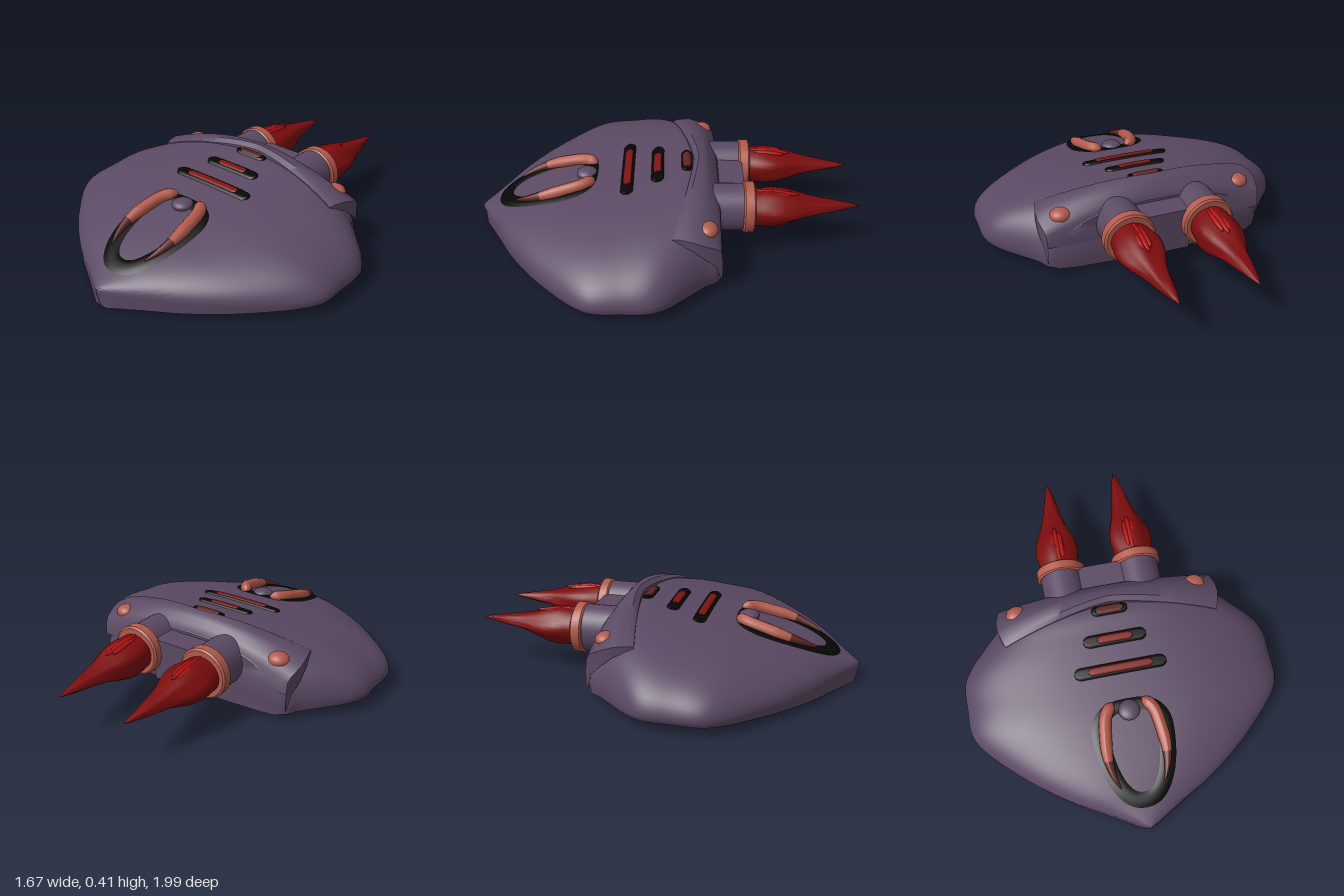
import * as THREE from 'three';
import { toCreasedNormals } from 'three/addons/utils/BufferGeometryUtils.js';

const material = (name, color, side = THREE.FrontSide) => {
  const m = new THREE.MeshStandardMaterial({ color, side });
  m.name = name;
  return m;
};

// Hull stations: z, half width, ridge height
const STATIONS = [
  [-0.272, 0.545, 0.325], [-0.25, 0.58, 0.345], [-0.2, 0.61, 0.365], [-0.1, 0.705, 0.38], [0, 0.795, 0.365],
  [0.08, 0.83, 0.353], [0.2, 0.832, 0.334], [0.35, 0.826, 0.308], [0.45, 0.765, 0.288], [0.6, 0.615, 0.25],
  [0.7, 0.495, 0.222], [0.8, 0.35, 0.187], [0.88, 0.205, 0.152], [0.94, 0.1, 0.126], [0.975, 0.04, 0.11], [0.995, 0.002, 0.1],
];
const EDGE = 0.08;

// Smooth interpolation of one station column
function station(z, k) {
  const S = STATIONS, n = S.length;
  z = THREE.MathUtils.clamp(z, S[0][0], S[n - 1][0]);
  let i = 0;
  while (i < n - 2 && z > S[i + 1][0]) i++;
  const slope = (j) => {
    const a = S[Math.max(j - 1, 0)], b = S[Math.min(j + 1, n - 1)];
    return (b[k] - a[k]) / (b[0] - a[0]);
  };
  const h = S[i + 1][0] - S[i][0], t = (z - S[i][0]) / h, t2 = t * t, t3 = t2 * t;
  return (2 * t3 - 3 * t2 + 1) * S[i][k] + (t3 - 2 * t2 + t) * h * slope(i)
    + (3 * t2 - 2 * t3) * S[i + 1][k] + (t3 - t2) * h * slope(i + 1);
}

// Height of the hull's upper surface
function hullTop(x, z) {
  const t = Math.min(1, Math.abs(x) / station(z, 1));
  return EDGE + (station(z, 2) - EDGE) * Math.sqrt(1 - Math.pow(t, 2.5));
}

// Skin over rows of points of equal length; closed loops get end caps
function skin(rows, closed) {
  const n = rows[0].length, last = (rows.length - 1) * n, pos = rows.flat(2), idx = [];
  for (let j = 0; j < rows.length - 1; j++) {
    for (let i = 0; i < (closed ? n : n - 1); i++) {
      const k = (i + 1) % n, a = j * n + i, b = j * n + k;
      idx.push(a, b, a + n, b, b + n, a + n);
    }
  }
  if (closed) {
    const c = pos.length / 3;
    pos.push(0, 0.12, rows[0][0][2], 0, 0.05, rows.at(-1).at(-1)[2]);
    for (let i = 0; i < n; i++) {
      const k = (i + 1) % n;
      idx.push(c, k, i, c + 1, last + i, last + k);
    }
  }
  const g = new THREE.BufferGeometry();
  g.setAttribute('position', new THREE.Float32BufferAttribute(pos, 3));
  g.setIndex(idx);
  return toCreasedNormals(g, 0.7);
}

function hullGeometry() {
  const rows = [], N = 44, M = 64;
  for (let j = 0; j <= M; j++) {
    const z = -0.272 + 1.267 * j / M, w = station(z, 1), row = [];
    for (let i = 0; i <= N; i++) {
      const x = w * Math.cos(Math.PI * i / N);
      row.push([x, hullTop(x, z), z]);
    }
    const lift = w / 0.83, zb = Math.min(z, 0.975);
    for (const [f, y] of [[-0.985, 0.055], [-0.95, 0.04], [-0.8, 0.025], [-0.45, 0.01], [0, 0],
      [0.45, 0.01], [0.8, 0.025], [0.95, 0.04], [0.985, 0.055]]) row.push([w * f, y * lift, zb]);
    rows.push(row);
  }
  return skin(rows, true);
}

// Raised cowl across the rear deck
function cowlGeometry() {
  const rows = [], N = 36;
  const column = (u, skirt) => {
    const a = Math.abs(u), x = 0.565 * u;
    const crest = 0.415 - 0.11 * a * a;
    const front = -0.14 + 0.11 * Math.pow(a, 1.3);
    const fall = -0.2 + 0.07 * a * a;
    const bulge = (z) => x * (1 + 0.06 * Math.sin(Math.PI * THREE.MathUtils.clamp((front - z) / (front + 0.3), 0, 1)));
    return [
      [front, hullTop(x, front) - 0.02], [front - 0.004, Math.max(crest - 0.02, hullTop(x, front) + 0.004)],
      [front - 0.03, crest], [fall, crest - 0.004], [(fall - 0.245) / 2, crest - 0.025],
      [-0.245, crest - 0.052], [-0.268, crest - 0.08], [-0.276, 0.16],
    ].map(([z, y]) => [bulge(z), skirt ? Math.min(y, hullTop(x, z) - 0.01) : y, z]);
  };
  rows.push(column(-1, true));
  for (let i = 0; i <= N; i++) rows.push(column(-1 + 2 * i / N, false));
  rows.push(column(1, true));
  return skin(rows.map((r) => r.reverse()), false);
}

// Lay a flat geometry over the hull; rule returns [x, z, height above hull]
function drape(g, rule) {
  const p = g.attributes.position;
  for (let i = 0; i < p.count; i++) {
    const [x, z, h] = rule(p.getX(i), p.getY(i));
    p.setXYZ(i, x, hullTop(x, z) + h, z);
  }
  g.computeVertexNormals();
  return g;
}

// Pill shaped strip
const pill = (z0, half, r, h) => drape(new THREE.PlaneGeometry(2, 2, 40, 10), (u, v) => {
  const x = half * Math.sin(u * Math.PI / 2);
  const over = Math.max(0, Math.abs(x) - (half - r));
  const d = Math.sqrt(Math.max(0, r * r - over * over));
  return [x, z0 - v * d, h * (1 - Math.pow(v, 6)) - 0.002];
});

// Egg shaped rim
const eggRim = () => drape(new THREE.RingGeometry(1, 2, 72, 5), (u, v) => {
  const s = Math.hypot(u, v) - 1, a = Math.atan2(v, u), c = Math.cos(a), sn = Math.sin(a);
  const x = Math.sign(c) * Math.pow(Math.abs(c), sn > 0 ? 0.7 : 0.88) * (0.125 + 0.085 * s);
  const z = 0.52 - sn * (sn > 0 ? 0.1 + 0.06 * s : 0.3 + 0.075 * s);
  return [x, z, 0.009 * Math.min(1, 4 * s * (1 - s) + 0.2)];
});

// Tapered curved claw with a dark tip
function clawGeometry(side) {
  const pts = [[0.075, 0.37, 0.012], [0.122, 0.43, 0.018], [0.143, 0.53, 0.02], [0.15, 0.64, 0.02],
    [0.135, 0.73, 0.018], [0.11, 0.795, 0.014]]
    .map(([x, z, h]) => new THREE.Vector3(side * x, hullTop(x, z) + h, z));
  const curve = new THREE.CatmullRomCurve3(pts), L = 32, R = 12;
  const g = new THREE.TubeGeometry(curve, L, 0.032, R);
  const p = g.attributes.position, v = new THREE.Vector3();
  for (let i = 0; i < p.count; i++) {
    const t = Math.floor(i / (R + 1)) / L, c = curve.getPointAt(t);
    const f = Math.min(1, Math.sqrt(t * 12)) * Math.min(1, Math.pow((1 - t) / 0.5, 0.7));
    v.fromBufferAttribute(p, i).sub(c).multiplyScalar(f).add(c);
    p.setXYZ(i, v.x, v.y, v.z);
  }
  g.computeVertexNormals();
  const split = 21 * R * 6;
  g.addGroup(0, split, 0);
  g.addGroup(split, L * R * 6 - split, 1);
  return g;
}

// Exhaust flame with twisting lobes, pointing to the rear
function flameGeometry() {
  const profile = [[0, 0], [0.1, 0], [0.108, 0.05], [0.116, 0.1], [0.111, 0.16], [0.094, 0.22], [0.07, 0.28],
    [0.053, 0.34], [0.043, 0.39], [0.029, 0.45], [0.015, 0.51], [0, 0.555]].map(([r, y]) => new THREE.Vector2(r, y));
  const g = new THREE.LatheGeometry(profile, 40);
  const p = g.attributes.position;
  for (let i = 0; i < p.count; i++) {
    const y = p.getY(i), a = Math.atan2(p.getZ(i), p.getX(i));
    const f = 1 + 0.06 * Math.sin(5 * a + 9 * y) * Math.min(1, y * 8);
    p.setXYZ(i, p.getX(i) * f - 0.015 * y / 0.555, y, p.getZ(i) * f * (0.92 - 0.2 * Math.min(1, y * 5)));
  }
  g.rotateX(-Math.PI / 2);
  return toCreasedNormals(g, 0.9);
}

export function createModel() {
  const purple = material('dusky purple', 0x5b4963);
  const black = material('black', 0x060607, THREE.DoubleSide);
  const coral = material('coral', 0xb25a4b);
  const flameRed = material('flame red', 0x7c0c0d);
  const brightRed = material('bright red', 0xac0f10);
  const maroon = material('maroon', 0x5e2523);
  const stripRed = material('strip red', 0x7c1513, THREE.DoubleSide);

  const model = new THREE.Group();
  const add = (name, g, m, x = 0, y = 0, z = 0, parent = model) => {
    const mesh = new THREE.Mesh(g, m);
    mesh.name = name;
    mesh.position.set(x, y, z);
    parent.add(mesh);
    return mesh;
  };

  add('hull', hullGeometry(), purple);
  add('rearCowl', cowlGeometry(), purple);
  add('engineBridge', new THREE.BoxGeometry(0.24, 0.22, 0.18), purple, 0, 0.2, -0.315);

  // Deck strips
  for (const [z, half, inner, r] of [[0.2, 0.24, 0.167, 0.034], [0.045, 0.165, 0.092, 0.034], [-0.108, 0.095, 0.072, 0.03]]) {
    add('stripFrame', pill(z, half, r, 0.012), black);
    add('stripInlay', pill(z, inner, 0.024, 0.018), z < 0 ? maroon : stripRed);
  }

  // Nose emblem: rim, claws and knob
  add('noseRim', eggRim(), black);
  add('noseKnob', new THREE.SphereGeometry(0.055, 24, 16), purple, 0, 0.303, 0.42).scale.y = 0.5;
  for (const s of [-1, 1]) {
    add('claw', clawGeometry(s), [coral, maroon]);
    const bump = add('cowlBump', new THREE.SphereGeometry(0.057, 24, 16), coral, s * 0.482, 0.293, -0.2);
    bump.scale.set(1, 0.66, 0.92);

    // Engine with collar and flame
    const engine = new THREE.Group();
    engine.name = 'engine';
    engine.position.set(s * 0.208, 0.235, 0);
    model.add(engine);
    const tube = new THREE.CylinderGeometry(0.115, 0.115, 0.22, 36).rotateX(Math.PI / 2);
    add('engineTube', tube, purple, 0, 0, -0.3, engine).scale.y = 1.08;
    const ring = [[0.09, -0.03], [0.122, -0.03], [0.132, -0.022], [0.132, 0.022], [0.122, 0.03], [0.09, 0.03]]
      .map(([r, y]) => new THREE.Vector2(r, y));
    add('engineCollar', toCreasedNormals(new THREE.LatheGeometry(ring, 36).rotateX(-Math.PI / 2), 0.6), coral, 0, 0, -0.42, engine);
    add('flame', flameGeometry(), flameRed, 0, 0, -0.44, engine).scale.x = s;
    for (const [x, len] of [[-0.02, 0.085], [0, 0.115], [0.02, 0.085]]) {
      const tongue = add('flameTongue', new THREE.SphereGeometry(1, 12, 10), brightRed, x - s * 0.006, 0.083 - Math.abs(x) * 0.1, -0.56, engine);
      tongue.scale.set(0.015, 0.013, len);
      tongue.rotation.x = -0.1;
    }
  }
  return model;
}
